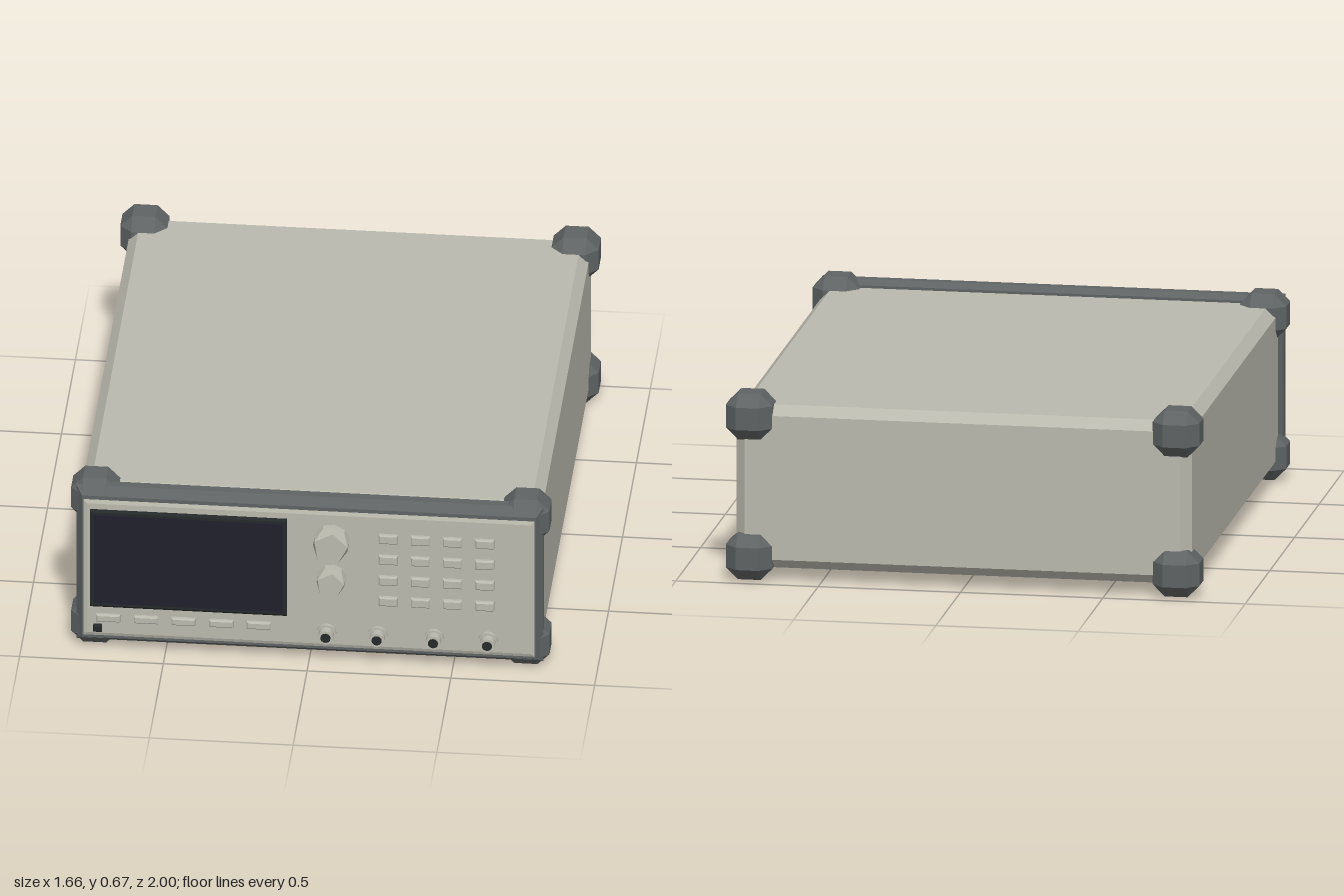
import * as THREE from 'three';
import { ConvexGeometry } from 'three/addons/geometries/ConvexGeometry.js';

const mat = (name, color) => new THREE.MeshStandardMaterial({ name, color });

export function createModel() {
  const model = new THREE.Group();
  model.name = 'benchInstrument';
  const casing = mat('warm grey casing', 0xbab9ae);
  const rubber = mat('dark grey rubber', 0x5f6363);
  const black = mat('black plastic', 0x25292a);
  const glass = mat('dark blue glass', 0x20202d);

  const add = (name, geometry, material, x = 0, y = 0, z = 0) => {
    const mesh = new THREE.Mesh(geometry, material);
    mesh.name = name;
    mesh.position.set(x, y, z);
    model.add(mesh);
    return mesh;
  };

  // Box with all twelve edges chamfered, given half sizes
  const chamferBox = (hx, hy, hz, c) => {
    const points = [];
    for (const sx of [-1, 1]) for (const sy of [-1, 1]) for (const sz of [-1, 1]) {
      points.push(
        new THREE.Vector3(sx * hx, sy * (hy - c), sz * (hz - c)),
        new THREE.Vector3(sx * (hx - c), sy * hy, sz * (hz - c)),
        new THREE.Vector3(sx * (hx - c), sy * (hy - c), sz * hz));
    }
    return new ConvexGeometry(points);
  };

  // Stack of rectangles [z, half width, half height] joined into one block
  const block = (...rings) => {
    const points = [];
    for (const [z, w, h] of rings)
      for (const sx of [-1, 1]) for (const sy of [-1, 1])
        points.push(new THREE.Vector3(sx * w, sy * h, z));
    return new ConvexGeometry(points);
  };

  const face = 0.937; // front panel plane

  // Case, front frame and panel
  add('case', chamferBox(0.8, 0.29, 0.91, 0.034), casing, 0, 0.335, -0.05);
  add('frontFrame', block([0.843, 0.795, 0.293], [0.868, 0.812, 0.31],
    [0.9, 0.812, 0.31], [0.931, 0.79, 0.285]), rubber, 0, 0.337, 0);
  add('frontPanel', block([0.92, 0.785, 0.273], [0.932, 0.785, 0.273],
    [face, 0.772, 0.26]), casing, 0, 0.335, 0);

  // Corner bumpers
  const bumper = chamferBox(0.082, 0.082, 0.082, 0.042);
  for (const x of [-0.75, 0.75]) for (const y of [0.087, 0.585]) for (const z of [-0.918, 0.845])
    add('cornerBumper', bumper, rubber, x, y, z);

  // Feet, tapered towards the ground
  const foot = block([0, 0.068, 0.08], [0.035, 0.068, 0.08], [0.05, 0.056, 0.068]);
  foot.rotateX(Math.PI / 2);
  for (const x of [-0.535, 0.535]) for (const z of [-0.65, 0.58])
    add('foot', foot, black, x, 0.05, z);

  // Screen
  add('screenBezel', block([0, 0.343, 0.195], [0.005, 0.343, 0.195], [0.01, 0.335, 0.187]),
    black, -0.418, 0.378, face);
  add('screenGlass', new THREE.BoxGeometry(0.658, 0.355, 0.004), glass, -0.419, 0.378, face + 0.01);

  // Soft keys, keypad and power button
  const button = (w, h) => block([-0.003, w, h], [0.009, w, h], [0.014, w - 0.005, h - 0.005]);
  const softKey = button(0.042, 0.0145);
  for (let i = 0; i < 5; i++) add('softKey', softKey, casing, -0.697 + i * 0.131, 0.14, face);
  const key = button(0.033, 0.018);
  for (let row = 0; row < 4; row++) for (let col = 0; col < 4; col++)
    add('keypadKey', key, casing, 0.277 + col * 0.1117, 0.514 - row * 0.0837, face);
  add('powerButton', button(0.015, 0.014), black, -0.734, 0.097, face);

  // Faceted knobs: ten-sided base closing to a five-sided front
  const knob = (r) => {
    const points = [];
    const ring = (n, z, radius) => {
      for (let i = 0; i < n; i++) {
        const a = (i / n) * Math.PI * 2 + 0.15;
        points.push(new THREE.Vector3(Math.cos(a) * radius, Math.sin(a) * radius, z));
      }
    };
    ring(10, 0, r);
    ring(10, 0.025, r);
    ring(5, 0.063, r * 0.96);
    return new ConvexGeometry(points);
  };
  add('largeKnob', knob(0.064), casing, 0.08, 0.496, face);
  add('smallKnob', knob(0.051), casing, 0.08, 0.347, face);

  // Sockets with a flange, barrel and dark centre
  const disc = (r, depth, sides) =>
    new THREE.CylinderGeometry(r, r, depth, sides).rotateX(Math.PI / 2).toNonIndexed();
  const flange = disc(0.034, 0.014, 16);
  const barrel = disc(0.027, 0.043, 16);
  const core = disc(0.018, 0.004, 12);
  for (const x of [0.062, 0.24, 0.436, 0.624]) {
    add('socketFlange', flange, casing, x, 0.124, face + 0.006);
    add('socketBarrel', barrel, casing, x, 0.124, face + 0.021);
    add('socketCentre', core, black, x, 0.124, face + 0.043);
  }

  return model;
}
